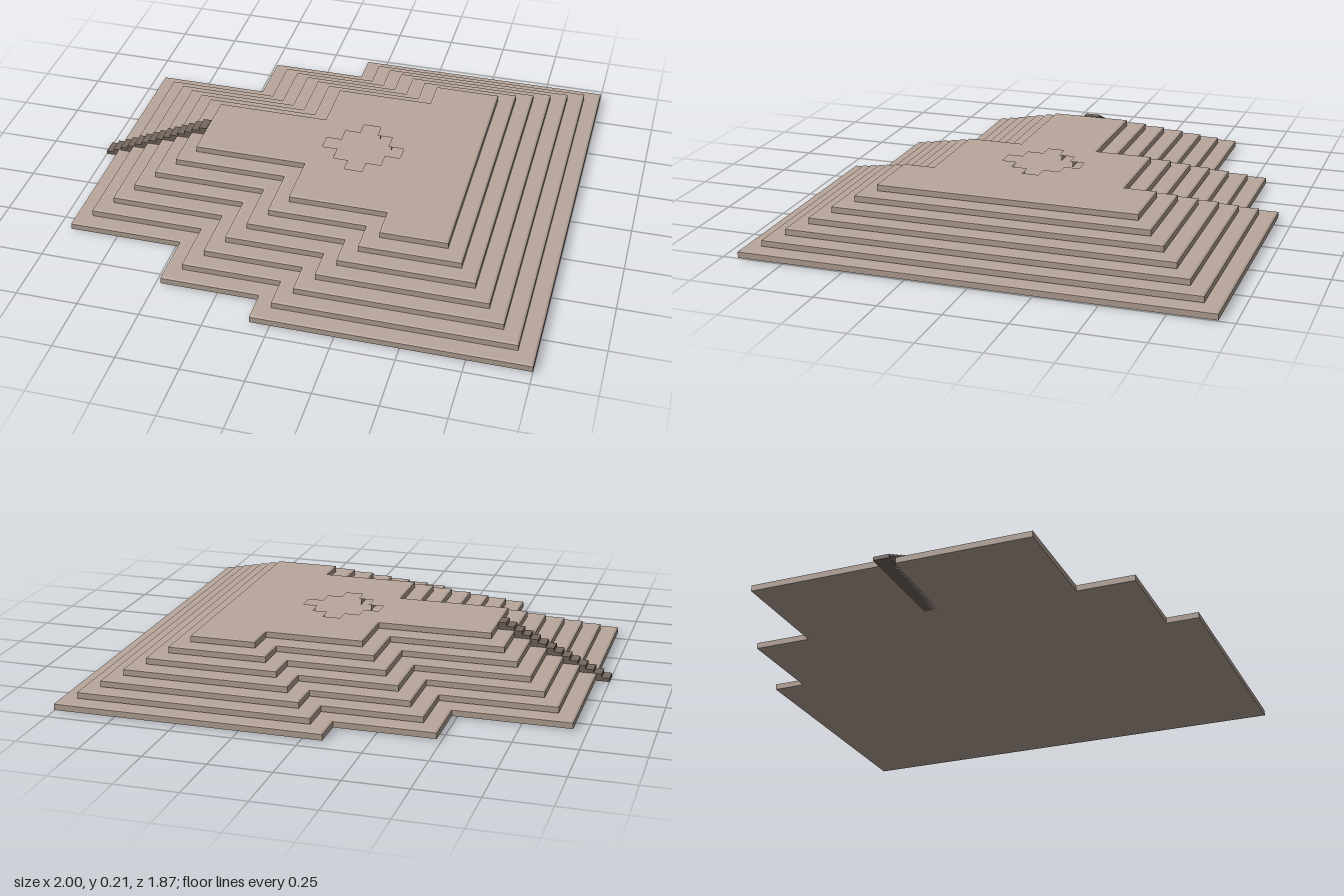
import * as THREE from 'three';

const LAYERS = 7;
const RISE = 0.03;
const INSET = 0.0675;
const BEVEL = 0.008;
const BEVEL_H = 0.003;

// Outline symmetric about z = 0, from the half listed at positive z
function mirrored(half, PathType) {
  const all = [...half, ...half.slice().reverse().map(([x, z]) => [x, -z])];
  return new PathType(all.map(([x, z]) => new THREE.Vector2(x, z)));
}

// Stepped plan of one terrace, shrunk evenly by d
function terraceShape(d) {
  return mirrored([
    [-0.945 + d, 0.57 - d], [-0.48 + d, 0.57 - d],
    [-0.48 + d, 0.805 - d], [-0.08 + d, 0.805 - d],
    [-0.08 + d, 0.937 - d], [1 - d, 0.937 - d],
  ], THREE.Shape);
}

// Stepped cross cut into the top terrace
function crossHole() {
  const c = 0.127;
  return mirrored([
    [c - 0.172, 0.042], [c - 0.108, 0.042], [c - 0.108, 0.11], [c - 0.045, 0.11],
    [c - 0.045, 0.172], [c + 0.045, 0.172], [c + 0.045, 0.11], [c + 0.108, 0.11],
    [c + 0.108, 0.042], [c + 0.172, 0.042],
  ], THREE.Path);
}

export function createModel() {
  const model = new THREE.Group();
  model.name = 'steppedPlatform';
  const stone = new THREE.MeshStandardMaterial({ color: 0xb9a79b });
  stone.name = 'stone';
  const darkStone = new THREE.MeshStandardMaterial({ color: 0x75685f });
  darkStone.name = 'darkStone';

  // Terraces, each with a fine chamfered edge
  for (let i = 0; i < LAYERS; i++) {
    const shape = terraceShape(i * INSET);
    if (i === LAYERS - 1) shape.holes.push(crossHole());
    const geometry = new THREE.ExtrudeGeometry(shape, {
      depth: RISE - 2 * BEVEL_H, bevelEnabled: true, bevelSegments: 1,
      bevelSize: BEVEL, bevelOffset: -BEVEL, bevelThickness: BEVEL_H,
    });
    geometry.rotateX(-Math.PI / 2);
    geometry.translate(0, i * RISE + BEVEL_H, 0);
    const terrace = new THREE.Mesh(geometry, stone);
    terrace.name = `terrace${i + 1}`;
    model.add(terrace);
  }

  // Narrow stairway climbing the terraces on the -x side
  const steps = 14;
  const x0 = -1, x1 = -0.54, width = 0.066;
  const run = (x1 - x0) / steps, rise = (LAYERS * RISE) / steps;
  const profile = new THREE.Shape();
  profile.moveTo(x0, 0);
  for (let i = 0; i < steps; i++) {
    profile.lineTo(x0 + i * run, (i + 1) * rise);
    profile.lineTo(x0 + (i + 1) * run, (i + 1) * rise);
  }
  profile.lineTo(x1, 0);
  profile.closePath();
  const stairGeometry = new THREE.ExtrudeGeometry(profile, { depth: width, bevelEnabled: false });
  stairGeometry.translate(0, 0, -width / 2);
  const stairway = new THREE.Mesh(stairGeometry, darkStone);
  stairway.name = 'stairway';
  model.add(stairway);

  return model;
}
